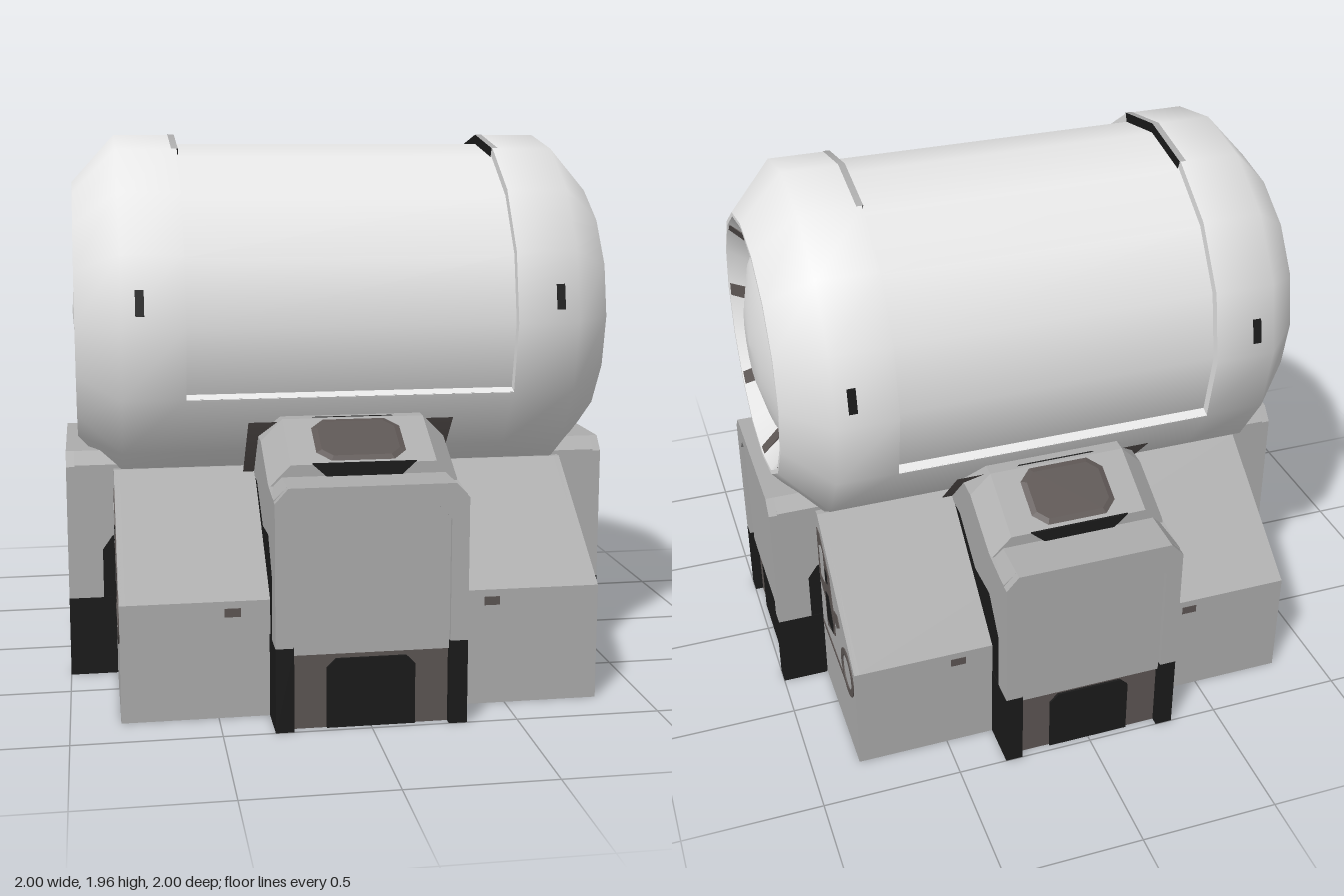
import * as THREE from 'three';

const mat = (name, color, side = THREE.FrontSide) => {
  const m = new THREE.MeshStandardMaterial({ color, side });
  m.name = name;
  return m;
};

export function createModel() {
  const white = mat('tank white', 0xe6e6e6, THREE.DoubleSide);
  const grey = mat('base grey', 0xadadad, THREE.DoubleSide);
  const black = mat('rubber black', 0x1b1b1b, THREE.DoubleSide);
  const brown = mat('dark brown', 0x5d5654);
  const root = new THREE.Group();

  const add = (parent, name, geo, material, x = 0, y = 0, z = 0) => {
    const m = new THREE.Mesh(geo, material);
    m.name = name;
    m.position.set(x, y, z);
    parent.add(m);
    return m;
  };
  const box = (w, h, d) => new THREE.BoxGeometry(w, h, d);
  const shape = pts => new THREE.Shape(pts.map(p => new THREE.Vector2(...p)));
  const extrude = (s, depth, steps = 1) =>
    new THREE.ExtrudeGeometry(s, { depth, steps, bevelEnabled: false, curveSegments: 12 });
  // Prism with a (z, y) outline, centred across x
  const prism = (pts, w) => extrude(shape(pts), w).rotateY(-Math.PI / 2).translate(w / 2, 0, 0);
  // Upright outline with cut upper corners
  const arch = (w, y0, y1, c) => [[-w, y0], [w, y0], [w, y1 - c], [w - c, y1], [c - w, y1], [-w, y1 - c]];

  // ---- Tank, lying along x ----
  const tank = new THREE.Group();
  tank.name = 'tank';
  tank.position.y = 1.31;
  root.add(tank);
  const lathe = (pts, start = 0, len = Math.PI * 2, segs = 16) =>
    new THREE.LatheGeometry(pts.map(p => new THREE.Vector2(...p)), segs, start, len).rotateZ(-Math.PI / 2);
  add(tank, 'upperShell', lathe([[0.617, -0.58], [0.617, 0.58]], Math.PI * 7 / 8, Math.PI * 5 / 4, 10), white);
  add(tank, 'lowerShell', lathe([[0.65, -0.58], [0.65, 0.58]], Math.PI / 8, Math.PI * 3 / 4, 6), white);
  for (const s of [1, -1]) {
    // Ledge where the thicker lower shell begins
    const ledge = add(tank, 'shellLedge', box(1.16, 0.008, 0.04), white,
      0, -0.633 * Math.sin(Math.PI / 8) - 0.004, s * 0.631 * Math.cos(Math.PI / 8));
    ledge.rotation.x = s * Math.PI / 8;
    // Dark gasket between tank and housing
    const gasket = lathe([[0.67, -0.365], [0.67, 0.365]], 0.53, 0.45, 1);
    add(tank, 'gasket', s > 0 ? gasket : gasket.rotateY(Math.PI), brown);

    const end = new THREE.Group();
    end.name = 'tankEnd';
    end.rotation.y = s > 0 ? 0 : Math.PI;
    tank.add(end);
    add(end, 'collarEdge', lathe([[0.60, 0.58], [0.65, 0.58]]), white);
    add(end, 'collar', lathe([[0.65, 0.58], [0.65, 0.8], [0.48, 0.955]]), white);
    // Seal strip on the crown of the collar
    add(end, 'crownStrip', lathe([[0.652, 0.576], [0.652, 0.6]], Math.PI * 11 / 8, Math.PI / 4, 2), grey);
    add(end, 'crownSeal', lathe([[0.616, 0.576], [0.652, 0.576]], Math.PI * 11 / 8, Math.PI / 4, 2), black);
    add(end, 'rim', lathe([[0.48, 0.955], [0.465, 0.955]]), white);
    add(end, 'recess', lathe([[0.465, 0.955], [0.385, 0.87]]), white);
    add(end, 'dome', lathe([[0.385, 0.87], [0.3, 0.915], [0.15, 0.955], [0.001, 0.965]]), white);
    // Notches around the recess
    for (let i = 0; i < 8; i++) {
      const pivot = new THREE.Group();
      pivot.name = 'notch';
      pivot.rotation.x = i * Math.PI / 4;
      end.add(pivot);
      add(pivot, 'notchBlock', box(0.016, 0.1, 0.05), brown, 0.911, 0.424, 0).rotation.z = -0.76;
    }
    // Small dark slots in the collar
    for (const z of [1, -1]) add(end, 'collarSlot', box(0.03, 0.09, 0.008), black, 0.735, 0.09, z * 0.631).rotation.x = -z * 0.2;
  }

  // ---- Hollow base with sloping front and back ----
  const base = new THREE.Group();
  base.name = 'base';
  root.add(base);
  const outer = [[0.835, 0], [0.835, 0.41], [0.35, 0.77], [-0.35, 0.77], [-0.835, 0.41], [-0.835, 0]];
  const inner = [[-0.815, 0], [-0.815, 0.4], [-0.34, 0.75], [0.34, 0.75], [0.815, 0.4], [0.815, 0]];
  add(base, 'baseShell', prism([...outer, ...inner], 1.66), grey);
  // Dark inner tray, open below
  add(base, 'underTray', box(1.62, 0.12, 0.64), black, 0, 0.2, 0);
  for (const s of [1, -1]) {
    add(base, 'baseSide', prism(outer, 0.02), grey, s * 0.82, 0, 0);
    add(base, 'trayWall', box(1.62, 0.3, 0.015), black, 0, 0.165, s * 0.325);
    add(base, 'underRail', box(1.64, 0.015, 0.015), grey, 0, 0.0075, s * 0.325);
    // Wells inside the front and back legs
    add(base, 'wellLining', box(0.63, 0.02, 0.48), brown, 0, 0.2, s * 0.57);
    for (const x of [1, -1]) add(base, 'wellWall', box(0.015, 0.3, 0.49), black, x * 0.317, 0.155, s * 0.57);
    for (const z of [1, -1]) {
      // Bracket and round boss on each side face
      const ring = new THREE.Shape().absarc(0, 0, 0.09, 0, Math.PI * 2);
      ring.holes.push(new THREE.Path().absarc(0, 0, 0.065, 0, Math.PI * 2, true));
      add(base, 'boss', extrude(ring, 0.008).rotateY(Math.PI / 2).translate(-0.004, 0, 0), brown, s * 0.83, 0.34, z * 0.73);
      const plate = (name, pts, m, t) =>
        add(base, name, prism(pts.map(([a, b]) => [a * z, b]), t), m, s * 0.83, 0, 0);
      plate('bracket', [[0.33, 0.70], [0.38, 0.70], [0.5, 0.60], [0.52, 0.52], [0.55, 0.45], [0.55, 0.36],
        [0.42, 0.31], [0.41, 0.43], [0.33, 0.47]], brown, 0.005);
      plate('bracketArm', [[0.55, 0.48], [0.61, 0.50], [0.64, 0.47], [0.59, 0.43], [0.55, 0.44]], brown, 0.005);
      plate('bracketOpening', [[0.36, 0.64], [0.39, 0.66], [0.42, 0.64], [0.43, 0.52], [0.37, 0.51]], grey, 0.008);
      plate('bracketSlot', [[0.43, 0.35], [0.52, 0.35], [0.53, 0.4], [0.48, 0.49], [0.43, 0.48]], black, 0.008);
      plate('bracketSpot', [[0.44, 0.54], [0.47, 0.54], [0.47, 0.59], [0.44, 0.59]], black, 0.008);
      plate('seam', [[0.33, 0.255], [0.68, 0.255], [0.68, 0.27], [0.33, 0.27]], brown, 0.005);
      add(base, 'frontSlot', box(0.055, 0.03, 0.008), brown, s * 0.45, 0.37, z * 0.833);
    }
  }

  // ---- Four legs, each built facing +z ----
  for (let i = 0; i < 4; i++) {
    const leg = new THREE.Group();
    const tall = i % 2 === 0;
    leg.name = tall ? 'housingLeg' : 'sideLeg';
    leg.rotation.y = i * Math.PI / 2;
    root.add(leg);

    // Frame, inset panel and foot
    add(leg, 'legFrame', extrude(shape([
      [0.325, 0.29], [0.325, 0.78], [0.28, 0.83], [-0.28, 0.83], [-0.325, 0.78], [-0.325, 0.29],
      [-0.265, 0.29], [-0.265, 0.71], [-0.21, 0.77], [0.21, 0.77], [0.265, 0.71], [0.265, 0.29]]), 0.03), grey, 0, 0, 0.97);
    add(leg, 'legPanel', extrude(shape(arch(0.266, 0.26, 0.771, 0.055)), 0.02), grey, 0, 0, 0.965);
    add(leg, 'legTop', extrude(shape(arch(0.325, 0.7, 0.83, 0.045)), 0.17), grey, 0, 0, 0.8);
    for (const s of [1, -1]) add(leg, 'footPillar', box(0.062, 0.29, 0.165), black, s * 0.294, 0.145, 0.9175);
    add(leg, 'footPanel', box(0.53, 0.26, 0.02), brown, 0, 0.13, 0.96);
    add(leg, 'footPlate', extrude(shape(arch(0.15, 0, 0.24, 0.03)), 0.008), black, 0, 0, 0.97);

    if (!tall) {
      add(leg, 'legBody', prism([[0.97, 0.29], [0.97, 0.78], [0.8, 0.78], [0.8, 0.54], [0.84, 0.52],
        [0.875, 0.47], [0.875, 0.29]], 0.65), grey);
      add(leg, 'skirt', prism([[0.9, 0], [0.9, 0.6], [0.825, 0.6], [0.825, 0]], 0.645), black);
      continue;
    }
    add(leg, 'legBody', prism([[0.97, 0.29], [0.97, 0.78], [0.83, 0.8], [0.4, 0.9], [0.33, 0.85], [0.33, 0.8],
      [0.4, 0.785], [0.65, 0.62], [0.81, 0.63], [0.91, 0.51], [0.91, 0.29]], 0.65), grey);
    add(leg, 'skirt', prism([[0.93, 0], [0.93, 0.55], [0.82, 0.68], [0.65, 0.68], [0.4, 0.84], [0.33, 0.84],
      [0.33, 0.76], [0.825, 0.4], [0.825, 0]], 0.645), black);

    // Housing whose top climbs toward the tank
    const housing = extrude(shape(arch(0.325, 0.74, 0.87, 0.075)), 0.46, 2).translate(0, 0, 0.37);
    const p = housing.attributes.position;
    for (let k = 0; k < p.count; k++) {
      const rise = Math.min((0.83 - p.getZ(k)) * 0.5, 0.12);
      p.setY(k, p.getY(k) + (p.getY(k) > 0.76 ? rise : 0));
    }
    housing.computeVertexNormals();
    add(leg, 'housing', housing, grey);

    // Chamfered window set into the slope, with its lip over the front edge
    const win = new THREE.Group();
    win.name = 'window';
    win.position.set(0, 0.898, 0.695);
    win.rotation.x = 0.464 - Math.PI / 2;
    leg.add(win);
    const oct = (w, h, c) => shape([[-w, c - h], [c - w, -h], [w - c, -h], [w, c - h], [w, h - c], [w - c, h], [c - w, h], [-w, h - c]]);
    add(win, 'windowFrame', extrude(oct(0.185, 0.14, 0.045), 0.03), black);
    add(win, 'windowPane', new THREE.ExtrudeGeometry(oct(0.135, 0.095, 0.035),
      { depth: 0.005, bevelSize: 0.036, bevelThickness: 0.012, bevelSegments: 1 }), brown, 0, 0, 0.025);
    add(leg, 'windowLip', extrude(shape([[-0.13, 0.83], [0.13, 0.83], [0.18, 0.875], [-0.18, 0.875]]), 0.008), black, 0, 0, 0.83);
  }
  return root;
}
